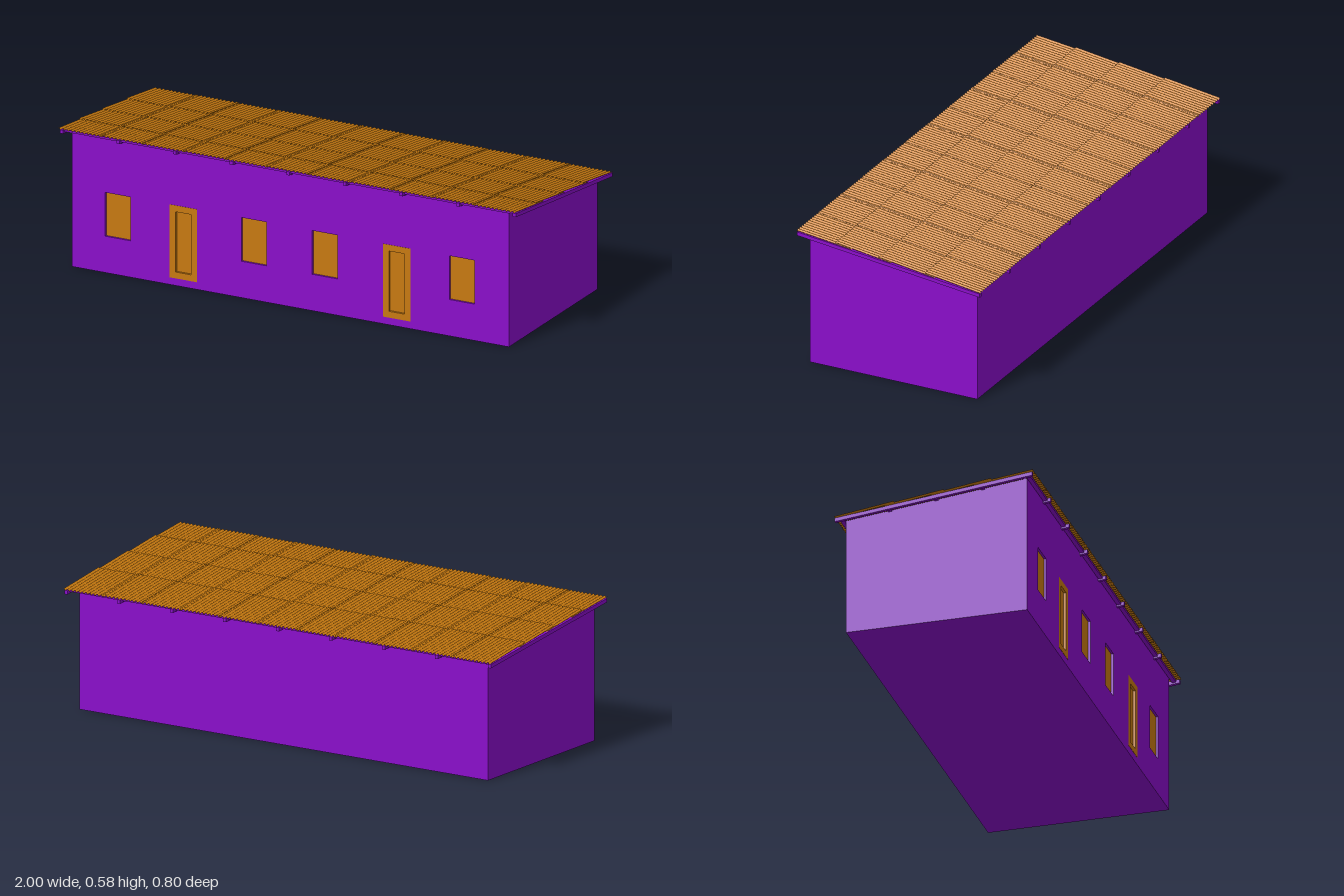
import * as THREE from 'three';

const purple = new THREE.MeshStandardMaterial({ color: 0x8a0dca });
const orange = new THREE.MeshStandardMaterial({ color: 0xc87a10 });
const sheetMaterial = new THREE.MeshStandardMaterial({ color: 0xc87a10, side: THREE.DoubleSide });

const SLOPE = 0.115;
const rafterTop = (z) => 0.5215 + SLOPE * z;
const WALL_X = -0.005, WALL_W = 1.91, WALL_Z = 0.365, RECESS = 0.012;

// Openings in the front wall: centre x, width, bottom, top
const windows = [-0.76, -0.165, 0.145, 0.745].map((x) => ({ x, w: 0.11, y0: 0.15, y1: 0.33 }));
const doors = [-0.473, 0.46].map((x) => ({ x, w: 0.12, y0: 0.03, y1: 0.33 }));

function add(parent, name, geometry, material, x = 0, y = 0, z = 0) {
  const mesh = new THREE.Mesh(geometry, material);
  mesh.name = name;
  mesh.position.set(x, y, z);
  parent.add(mesh);
  return mesh;
}

function rect(Type, x0, y0, x1, y1) {
  return new Type([[x0, y0], [x1, y0], [x1, y1], [x0, y1]].map(([x, y]) => new THREE.Vector2(x, y)));
}

const extrude = (shape, depth) => new THREE.ExtrudeGeometry(shape, { depth, bevelEnabled: false });

// Prism with a (z, y) outline, running along x and centred on it
function sidePrism(outline, width) {
  const shape = new THREE.Shape(outline.map(([z, y]) => new THREE.Vector2(-z, y)));
  return extrude(shape, width).translate(0, 0, -width / 2).rotateY(Math.PI / 2);
}

// Beam lying under the roof plane between two z positions
function slopedBeam(z0, z1, width, depth) {
  return sidePrism([
    [z1, rafterTop(z1) - depth], [z0, rafterTop(z0) - depth],
    [z0, rafterTop(z0)], [z1, rafterTop(z1)],
  ], width);
}

// Corrugated sheet: a plane whose vertices follow a wave across x
function corrugatedSheet(width, zHigh, zLow, liftHigh, waves) {
  const geometry = new THREE.PlaneGeometry(width, 1, waves * 6, 1);
  const p = geometry.attributes.position;
  for (let i = 0; i < p.count; i++) {
    const x = p.getX(i);
    const t = 0.5 - p.getY(i);
    const z = zLow + (zHigh - zLow) * t;
    const wave = 0.003 * (1 + Math.cos((x / width + 0.5) * waves * Math.PI * 2));
    p.setXYZ(i, x, rafterTop(z) + 0.0005 + liftHigh * t + wave, z);
  }
  geometry.computeVertexNormals();
  return geometry;
}

export function createModel() {
  const model = new THREE.Group();
  model.name = 'longHouse';

  // Solid body with a sloping top
  const zFront = WALL_Z - RECESS;
  const top = (z) => rafterTop(z) - 0.004;
  add(model, 'body', sidePrism([
    [zFront, 0], [-WALL_Z, 0], [-WALL_Z, top(-WALL_Z)], [zFront, top(zFront)],
  ], WALL_W), purple, WALL_X);

  // Front wall with recessed openings
  const wall = rect(THREE.Shape, WALL_X - WALL_W / 2, 0, WALL_X + WALL_W / 2, top(WALL_Z));
  for (const o of [...windows, ...doors]) {
    wall.holes.push(rect(THREE.Path, o.x - o.w / 2, o.y0, o.x + o.w / 2, o.y1));
  }
  add(model, 'frontWall', extrude(wall, RECESS), purple, 0, 0, zFront);

  // Window panes
  for (const o of windows) {
    add(model, 'windowPane', new THREE.BoxGeometry(o.w, o.y1 - o.y0, 0.004), orange,
      o.x, (o.y0 + o.y1) / 2, zFront + 0.001);
  }

  // Doors: a frame nearly flush with the wall around a sunk leaf
  for (const o of doors) {
    const door = new THREE.Group();
    door.name = 'door';
    door.position.set(o.x, o.y0, 0);
    model.add(door);
    const h = o.y1 - o.y0, b = 0.026;
    const frame = rect(THREE.Shape, -o.w / 2, 0, o.w / 2, h);
    frame.holes.push(rect(THREE.Path, -o.w / 2 + b, b, o.w / 2 - b, h - b));
    add(door, 'doorFrame', extrude(frame, RECESS + 0.001), orange, 0, 0, zFront);
    add(door, 'doorLeaf', new THREE.BoxGeometry(o.w - 2 * b, h - 2 * b, 0.004), orange,
      0, h / 2, zFront + 0.001);
  }

  // Rafters from eave to eave
  for (let i = 0; i < 9; i++) {
    add(model, 'rafter', slopedBeam(-0.4, 0.396, 0.014, 0.015), purple, -0.99 + i * 0.2475);
  }

  // Purlins carrying the sheets past the end walls
  for (let i = 0; i < 5; i++) {
    const z = 0.375 - i * 0.1875;
    add(model, 'purlin', slopedBeam(z - 0.008, z + 0.008, 1.98, 0.009), purple);
  }

  // Overlapping rows of corrugated sheets: high edge, low edge, lift of the high edge
  const rows = [[0.4, 0.16, 0.0015], [0.23, -0.01, 0.006], [0.04, -0.2, 0.006], [-0.16, -0.4, 0.006]];
  const columns = 11, width = 0.19, step = (2 - width) / (columns - 1);
  const roof = new THREE.Group();
  roof.name = 'roof';
  model.add(roof);
  for (const [zHigh, zLow, lift] of rows) {
    const geometry = corrugatedSheet(width, zHigh, zLow, lift, 11);
    for (let c = 0; c < columns; c++) {
      add(roof, 'roofSheet', geometry, sheetMaterial, -1 + width / 2 + c * step, (c % 2) * 0.001, 0);
    }
  }
  return model;
}
